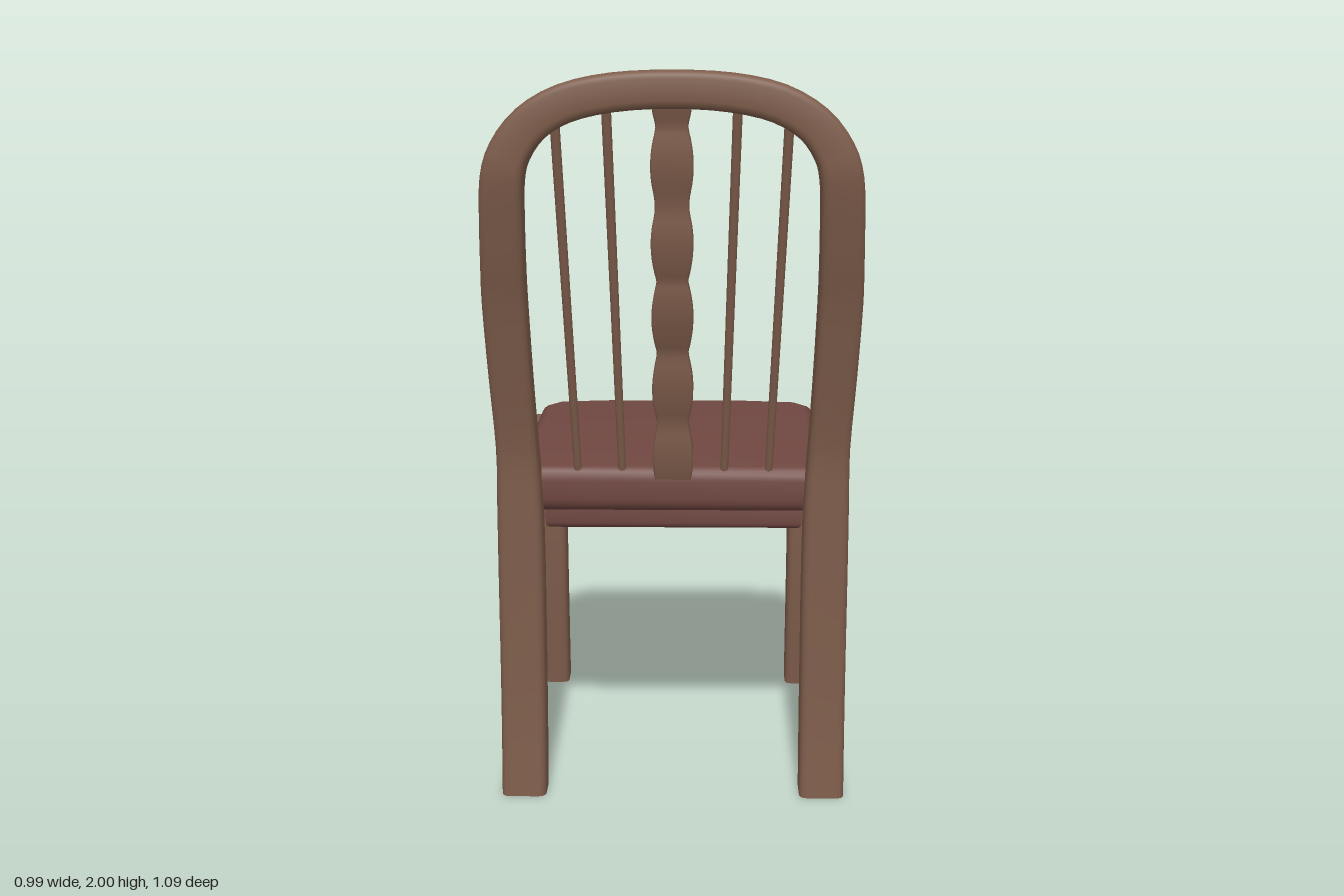
import * as THREE from 'three';
import { toCreasedNormals } from 'three/addons/utils/BufferGeometryUtils.js';

const wood = new THREE.MeshStandardMaterial({ color: 0x7d5c4a });
const leather = new THREE.MeshStandardMaterial({ color: 0x704741 });
const lining = new THREE.MeshStandardMaterial({ color: 0x2e1f1c });

// Rounded rectangle, counter-clockwise
function section(hw, hd, r, seg = 3) {
  const pts = [];
  for (let c = 0; c < 4; c++) {
    const cx = (c === 0 || c === 3 ? 1 : -1) * (hw - r);
    const cy = (c < 2 ? 1 : -1) * (hd - r);
    for (let k = 0; k <= seg; k++) {
      const a = (c + k / seg) * Math.PI / 2;
      pts.push([cx + r * Math.cos(a), cy + r * Math.sin(a)]);
    }
  }
  return pts;
}

// Sweeps a rounded bar along stations [x, y, z, halfWidth, halfDepth]; depth stays along z
function sweptBar(stations, steps, radius) {
  const path = new THREE.CatmullRomCurve3(stations.map(s => new THREE.Vector3(s[0], s[1], s[2])), false, 'catmullrom');
  const size = new THREE.CatmullRomCurve3(stations.map(s => new THREE.Vector3(s[3], s[4], 0)), false, 'catmullrom');
  const pos = [], idx = [];
  let n = 0;
  for (let i = 0; i <= steps; i++) {
    const p = path.getPoint(i / steps), t = path.getTangent(i / steps), s = size.getPoint(i / steps);
    const len = Math.hypot(t.x, t.y), ux = t.y / len, uy = -t.x / len;
    const ring = section(s.x, s.y, radius);
    n = ring.length;
    for (const [a, b] of ring) pos.push(p.x + a * ux, p.y + a * uy, p.z - b);
  }
  for (let i = 0; i < steps; i++) {
    for (let j = 0; j < n; j++) {
      const a = i * n + j, b = i * n + (j + 1) % n;
      idx.push(a, b, b + n, a, b + n, a + n);
    }
  }
  const last = steps * n;
  for (let j = 1; j < n - 1; j++) idx.push(0, j + 1, j, last, last + j, last + j + 1);
  const geo = new THREE.BufferGeometry();
  geo.setAttribute('position', new THREE.Float32BufferAttribute(pos, 3));
  geo.setIndex(idx);
  return toCreasedNormals(geo, 0.7);
}

// Horizontal slab with rounded edges, from an outline in x and z
function slab(shape, top, bottom, bevel, thick) {
  const geo = new THREE.ExtrudeGeometry(shape, {
    depth: top - bottom - 2 * thick, bevelEnabled: true, bevelSize: bevel,
    bevelThickness: thick, bevelOffset: -bevel, bevelSegments: 4,
  });
  geo.rotateX(Math.PI / 2);
  geo.translate(0, top - thick, 0);
  return toCreasedNormals(geo, 0.6);
}

const outline = pts => new THREE.Shape(pts.map(p => new THREE.Vector2(p[0], p[1])));

export function createModel() {
  const chair = new THREE.Group();
  chair.name = 'chair';
  const add = (name, geo, mat) => {
    const mesh = new THREE.Mesh(geo, mat);
    mesh.name = name;
    chair.add(mesh);
    return mesh;
  };

  // Back legs and arched top rail in one bent piece
  const half = [
    [0.418, 0, 0.373, 0.062], [0.418, 0.2, 0.353, 0.062], [0.418, 0.4, 0.342, 0.062],
    [0.418, 0.65, 0.336, 0.062], [0.419, 0.85, 0.335, 0.06], [0.423, 1.0, 0.339, 0.055],
    [0.432, 1.2, 0.373, 0.056], [0.438, 1.4, 0.413, 0.057], [0.437, 1.5, 0.44, 0.056],
    [0.434, 1.62, 0.468, 0.055], [0.428, 1.73, 0.49, 0.054], [0.407, 1.8, 0.493, 0.052],
    [0.355, 1.868, 0.492, 0.05], [0.27, 1.918, 0.491, 0.049], [0.15, 1.945, 0.491, 0.048],
  ].map(s => [...s, 0.0525]);
  const other = half.map(([x, ...rest]) => [-x, ...rest]).reverse();
  add('backFrame', sweptBar([...half, [0, 1.953, 0.491, 0.047, 0.0525], ...other], 90, 0.02), wood);

  // Front legs, swept forward at the foot
  for (const side of [1, -1]) {
    const x = side * 0.411;
    add(side > 0 ? 'leftFrontLeg' : 'rightFrontLeg', sweptBar([
      [x, 0, -0.446, 0.054, 0.05], [x, 0.2, -0.431, 0.054, 0.051], [x, 0.4, -0.419, 0.054, 0.052],
      [x, 0.65, -0.412, 0.054, 0.052], [x, 0.875, -0.411, 0.054, 0.052], [x, 0.89, -0.411, 0.046, 0.044],
    ], 20, 0.018), wood);
  }

  // Cushion with clipped front corners
  const seat = outline([
    [-0.435, 0.32], [-0.435, -0.455], [-0.385, -0.525], [-0.22, -0.547],
    [0.22, -0.547], [0.385, -0.525], [0.435, -0.455], [0.435, 0.32],
  ]);
  add('seatCushion', slab(seat, 0.93, 0.8, 0.035, 0.04), leather);

  // Open frame below the cushion
  const rim = outline([
    [-0.36, 0.24], [-0.36, -0.41], [-0.32, -0.46], [-0.2, -0.475],
    [0.2, -0.475], [0.32, -0.46], [0.36, -0.41], [0.36, 0.24],
  ]);
  rim.holes.push(outline([[-0.3, 0.18], [0.3, 0.18], [0.3, -0.4], [-0.3, -0.4]]));
  add('seatFrame', slab(rim, 0.81, 0.73, 0.018, 0.018), leather);
  const panel = new THREE.BoxGeometry(0.64, 0.02, 0.62);
  panel.translate(0, 0.795, -0.11);
  add('seatUnderside', panel, lining);

  // Scalloped centre splat, following the bend of the back
  const lean = new THREE.SplineCurve([[0.9, 0.304], [1.25, 0.366], [1.5, 0.424], [1.93, 0.48]]
    .map(p => new THREE.Vector2(p[0], p[1])));
  const splat = [];
  for (let i = 0; i <= 40; i++) {
    const p = lean.getPoint(i / 40);
    const bulge = Math.abs(Math.sin(Math.PI * (p.x - 1.06) / 0.2));
    splat.push([0, p.x, p.y, 0.041 + 0.014 * bulge, 0.024 + 0.01 * bulge]);
  }
  add('splat', sweptBar(splat, 80, 0.006), wood);

  // Slender spindles fanning out toward the top
  const up = new THREE.Vector3(0, 1, 0);
  for (const [x0, x1, y1] of [[0.14, 0.166, 1.92], [0.262, 0.296, 1.88]]) {
    for (const side of [1, -1]) {
      const a = new THREE.Vector3(side * x0, 0.9, 0.296);
      const b = new THREE.Vector3(side * x1, y1, 0.472);
      const rod = add('spindle', new THREE.CylinderGeometry(0.013, 0.011, a.distanceTo(b), 10), wood);
      rod.position.copy(a).add(b).multiplyScalar(0.5);
      rod.quaternion.setFromUnitVectors(up, b.sub(a).normalize());
    }
  }
  return chair;
}
